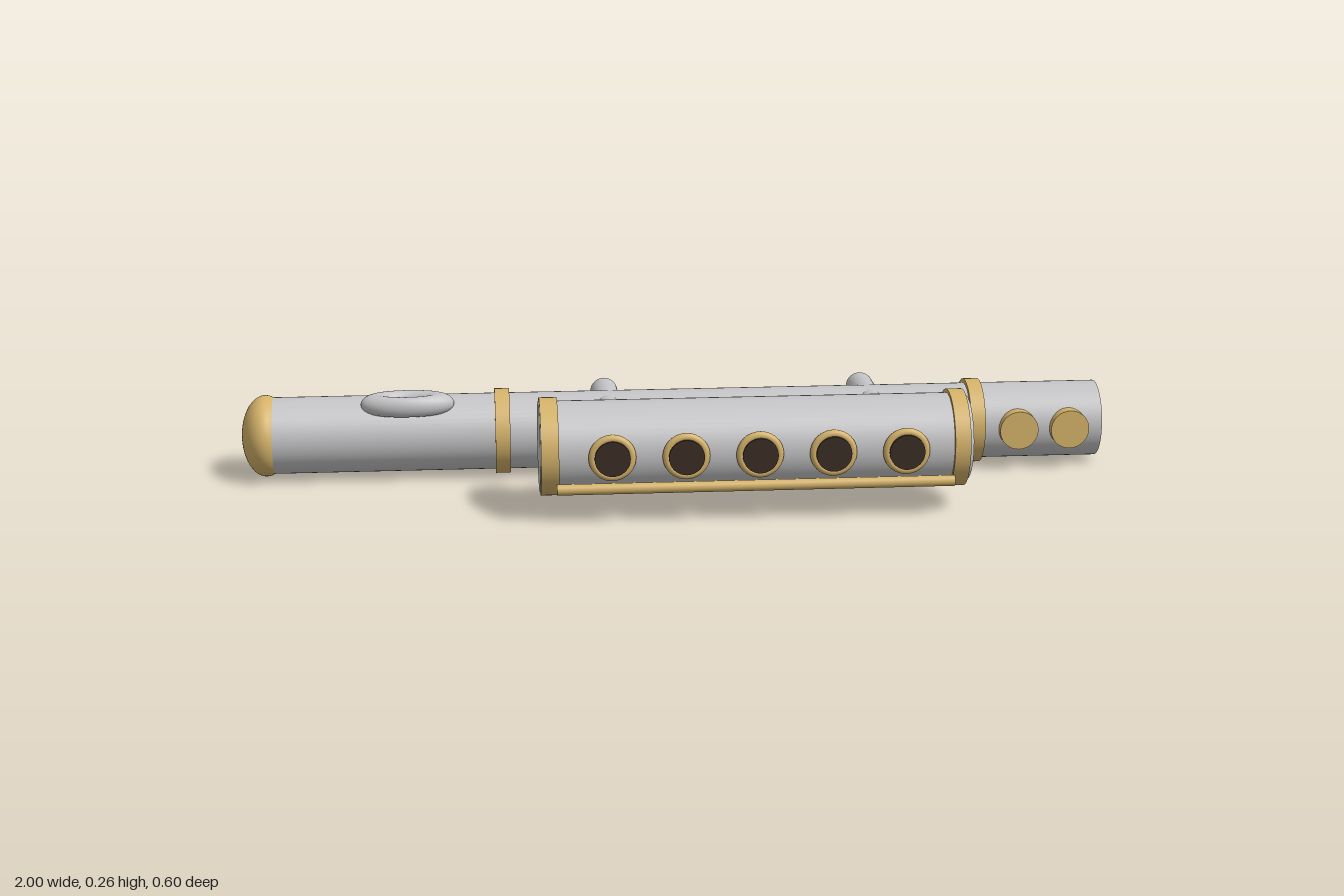
import * as THREE from 'three';

export function createModel() {
  const model = new THREE.Group();
  model.name = 'doubleTubeFlute';

  const mat = (name, color) => {
    const m = new THREE.MeshStandardMaterial({ color });
    m.name = name;
    return m;
  };
  const silver = mat('silver', 0xc4c4c6);
  const gold = mat('gold', 0xd4b26a);
  const dark = mat('darkHole', 0x3a2c24);

  const add = (name, geometry, material, x, y, z) => {
    const mesh = new THREE.Mesh(geometry, material);
    mesh.name = name;
    mesh.position.set(x, y, z);
    model.add(mesh);
    return mesh;
  };
  // Cylinder along x between x0 and x1
  const rodX = (name, r, x0, x1, y, z, material) =>
    add(name, new THREE.CylinderGeometry(r, r, x1 - x0, 48).rotateZ(-Math.PI / 2), material, (x0 + x1) / 2, y, z);
  // Cylinder along z between z0 and z1
  const rodZ = (name, r, z0, z1, x, y, material) =>
    add(name, new THREE.CylinderGeometry(r, r, z1 - z0, 36).rotateX(Math.PI / 2), material, x, y, (z0 + z1) / 2);

  // Long main tube with bands and a domed end
  const mainY = 0.1, mainZ = -0.16;
  rodX('mainTube', 0.0885, -0.96, 1, mainY, mainZ, silver);
  for (const x of [-0.4, 0.705]) rodX('mainBand', 0.0985, x - 0.017, x + 0.017, mainY, mainZ, gold);
  add('endDome', new THREE.SphereGeometry(0.094, 48, 32), gold, -0.945, mainY, mainZ).scale.x = 0.055 / 0.094;

  // Oval mouthpiece lip lying on the main tube
  const lip = new THREE.TorusGeometry(0.071, 0.036, 24, 48).rotateX(Math.PI / 2);
  add('mouthpieceLip', lip, silver, -0.617, 0.181, -0.115).scale.set(1, 0.65, 0.46);

  // Round buttons near the open end
  for (const x of [0.8, 0.92]) rodZ('button', 0.045, -0.09, -0.053, x, mainY, gold);

  // Short front tube with end bands
  const tubeY = 0.154, tubeZ = 0.179;
  rodX('frontTube', 0.1, -0.32, 0.612, tubeY, tubeZ, silver);
  rodX('frontBand', 0.108, -0.324, -0.285, tubeY, tubeZ, gold);
  rodX('frontBand', 0.108, 0.582, 0.617, tubeY, tubeZ, gold);
  // Silver face on the left-hand band, and rim with inset disc on the other end
  rodX('endFace', 0.1, -0.326, -0.32, tubeY, tubeZ, silver);
  add('endRim', new THREE.TorusGeometry(0.0885, 0.0117, 20, 64).rotateY(Math.PI / 2), silver, 0.615, tubeY, tubeZ);
  rodX('endDisc', 0.084, 0.612, 0.619, tubeY, tubeZ, gold);

  // Five finger holes with rounded collars
  for (let i = 0; i < 5; i++) {
    const x = -0.17 + i * 0.161;
    add('holeCollar', new THREE.TorusGeometry(0.0425, 0.0095, 16, 40), gold, x, tubeY, 0.2845);
    rodZ('fingerHole', 0.039, 0.26, 0.299, x, tubeY, dark);
  }

  // Thin rod below the finger holes
  rodX('keyRod', 0.012, -0.29, 0.585, 0.08, 0.27, gold);

  // Cross tubes joining both pipes
  for (const x of [-0.155, 0.46]) rodZ('crossTube', 0.032, -0.3, 0.12, x, tubeY, silver);

  return model;
}
